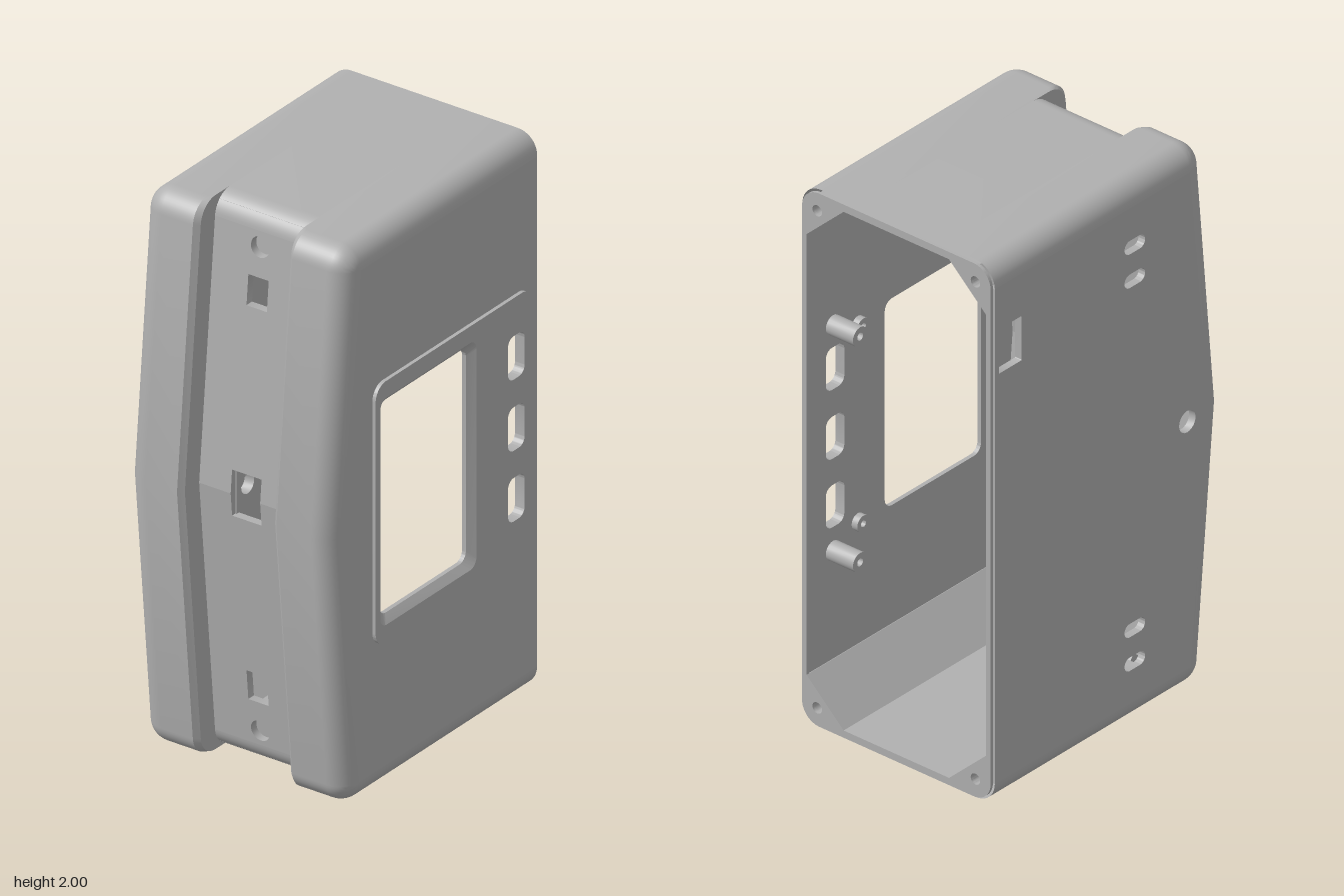
import * as THREE from 'three';
import { toCreasedNormals } from 'three/addons/utils/BufferGeometryUtils.js';

const grey = new THREE.MeshStandardMaterial({ color: 0xb0b0b0, side: THREE.DoubleSide });
grey.name = 'plain grey';

const Z0 = -0.005;              // mid-depth of the case
const PEAK = -0.565, SLOPE = 0.0925, R = 0.08, RIM = 0.55, GROOVE = 0.095;
const TILT = Math.atan(SLOPE);

// Side outline (x, y), open at the rim; d insets it, dx pushes the peaked side inwards
function profile(d = 0, dx = 0) {
  const cx = PEAK + SLOPE * (1 - R) + R / Math.cos(TILT) + dx;
  const upper = [[PEAK + d / Math.cos(TILT) + dx, 1]];
  for (let i = 0; i <= 12; i++) {
    const a = THREE.MathUtils.lerp(Math.PI - TILT, Math.PI / 2, i / 12);
    upper.push([cx + (R - d) * Math.cos(a), 2 - R + (R - d) * Math.sin(a)]);
  }
  upper.push([RIM, 2 - d]);
  const lower = upper.slice(1).reverse().map(([x, y]) => [x, 2 - y]);
  return [...lower, ...upper];
}

// Surface through rows of equal length; skip(row, column) leaves openings
function loft(rows, skip = () => false, crease = 0.3) {
  const n = rows[0].length, index = [];
  for (let i = 0; i < rows.length - 1; i++)
    for (let j = 0; j < n - 1; j++) {
      if (skip(i, j)) continue;
      const a = i * n + j, b = a + n;
      index.push(a, a + 1, b, b, a + 1, b + 1);
    }
  const g = new THREE.BufferGeometry();
  g.setAttribute('position', new THREE.Float32BufferAttribute(rows.flat(2), 3));
  g.setIndex(index);
  return toCreasedNormals(g, crease);
}

function roundRect(cx, cy, w, h, r, Kind = THREE.Path) {
  const p = new Kind(), x = w / 2 - r, y = h / 2 - r, q = Math.PI / 2;
  p.moveTo(cx + w / 2, cy - y);
  p.absarc(cx + x, cy + y, r, 0, q);
  p.absarc(cx - x, cy + y, r, q, 2 * q);
  p.absarc(cx - x, cy - y, r, 2 * q, 3 * q);
  p.absarc(cx + x, cy - y, r, 3 * q, 4 * q);
  p.closePath();
  return p;
}
function circle(x, y, r, Kind = THREE.Path) {
  const p = new Kind();
  p.absarc(x, y, r, 0, Math.PI * 2);
  return p;
}
function polygon(pts, Kind = THREE.Shape) {
  return new Kind(pts.map(([x, y]) => new THREE.Vector2(x, y)));
}

// Extrusions along z, along x, and along x following the peaked end wall
function extrudeZ(shape, z, depth) {
  const g = new THREE.ExtrudeGeometry(shape, { depth, bevelEnabled: false, curveSegments: 10 });
  return toCreasedNormals(g.translate(0, 0, z), 0.6);
}
function extrudeX(shape, x, depth) {
  return extrudeZ(shape, 0, depth).rotateY(Math.PI / 2).translate(x, 1, Z0);
}
function extrudeEnd(shape, offset, depth) {
  const g = extrudeX(shape, PEAK + GROOVE + offset, depth), p = g.attributes.position;
  for (let i = 0; i < p.count; i++) p.setX(i, p.getX(i) + SLOPE * Math.abs(p.getY(i) - 1));
  return toCreasedNormals(g, 0.6);
}

export function createModel() {
  const model = new THREE.Group();
  model.name = 'enclosure';
  const add = (name, geometry) => {
    const m = new THREE.Mesh(geometry, grey);
    m.name = name;
    model.add(m);
  };

  // Outer skin: rounded back edge, groove with chamfered lips, rounded front edge
  const slices = [];
  for (let i = 0; i <= 10; i++) {
    const a = (i / 10) * Math.PI / 2;
    slices.push([-0.41 + R * (1 - Math.cos(a)), Math.min(R * (1 - Math.sin(a)), 0.0795), 0]);
  }
  const front = slices.map(([z, d]) => [2 * Z0 - z, d, 0]).reverse();
  slices.push([-0.205, 0, 0], [-0.187, 0, 0.018], [-0.187, 0, GROOVE]);
  const floorRow = slices.length - 1;
  slices.push([0.168, 0, GROOVE], [0.168, 0, 0.018], [0.186, 0, 0], ...front);
  const rows = slices.map(([z, d, dx]) => profile(d, dx).map(([x, y]) => [x, y, z]));
  add('outerShell', loft(rows, (i, j) => i === floorRow && (j === 13 || j === 14)));

  // Front wall with window and button openings
  const flat = profile(0.0795);
  const window_ = (w, h) => roundRect(-0.055, 1.005, w, h, 0.035);
  const buttons = () => [1.26, 1.003, 0.748].map(y => roundRect(0.42, y, 0.09, 0.157, 0.03));
  const frontWall = polygon(flat);
  frontWall.holes.push(window_(0.52, 0.82), ...buttons());
  add('frontWall', extrudeZ(frontWall, 0.375, 0.025));

  // Raised panel and sloping window frame
  const panel = roundRect(0.0825, 1.003, 0.845, 0.945, 0.055, THREE.Shape);
  panel.holes.push(window_(0.52, 0.82), ...buttons());
  add('frontPanel', extrudeZ(panel, 0.4, 0.013));
  const frame = [[0.52, 0.82, 0.413], [0.468, 0.77, 0.39], [0.468, 0.77, 0.375], [0.52, 0.82, 0.375]];
  add('windowFrame', loft(frame.map(([w, h, z]) => window_(w, h).getPoints(8).map(p => [p.x, p.y, z]))));

  // Back wall with mounting slots, pin hole and cable opening
  const backWall = polygon(flat);
  for (const y of [1.775, 1.65, 0.35, 0.225]) backWall.holes.push(roundRect(-0.13, y, 0.1, 0.05, 0.0249));
  backWall.holes.push(circle(-0.385, 1, 0.04), roundRect(0.475, 1.68, 0.11, 0.165, 0.003));
  add('backWall', extrudeZ(backWall, -0.41, 0.027));

  // Top and bottom: inner chamfered linings, with screw holes
  for (const s of [1, -1]) {
    const lining = polygon([
      [0.378, 0.82], [0.222, 0.965], [-0.222, 0.965], [-0.378, 0.82], [-0.385, 0.82],
      [-0.385, 0.92], [-0.33, 0.978], [0.33, 0.978], [0.385, 0.92], [0.385, 0.82],
    ].map(([u, v]) => [u, v * s]));
    for (const k of [1, -1]) lining.holes.push(circle(k * 0.333, s * 0.925, 0.02));
    add(s > 0 ? 'topLining' : 'bottomLining', extrudeX(lining, -0.36, RIM + 0.36));
  }

  // Rim around the open side
  const rim = roundRect(0, 0, 0.794, 1.984, 0.073, THREE.Shape);
  rim.holes.push(polygon([
    [0.378, 0.82], [0.222, 0.965], [-0.222, 0.965], [-0.378, 0.82],
    [-0.378, -0.82], [-0.222, -0.965], [0.222, -0.965], [0.378, -0.82],
  ], THREE.Path));
  for (const s of [1, -1]) for (const k of [1, -1]) rim.holes.push(circle(k * 0.333, s * 0.925, 0.02));
  add('rim', extrudeX(rim, RIM, 0.011));

  // Peaked end wall in two halves, with blind-hole bosses and guide ribs
  const T = 1 - R + R * Math.sin(TILT);
  for (const s of [1, -1]) {
    const side = s > 0 ? 'upper' : 'lower';
    const half = polygon([
      [-0.378, 0], [-0.058, 0], [-0.058, 0.083], [0.058, 0.083], [0.058, 0],
      [0.378, 0], [0.378, T], [-0.378, T],
    ].map(([u, v]) => [u, v * s]));
    half.holes.push(roundRect(0, s * 0.713, 0.08, 0.108, 0.002), circle(0, s * 0.873, 0.037));
    add(side + 'EndWall', extrudeEnd(half, 0, 0.03));
    add(side + 'Boss', extrudeEnd(circle(0, s * 0.873, 0.064, THREE.Shape), 0.029, 0.05));
    add(side + 'Rib', extrudeEnd(roundRect(-0.067, s * 0.697, 0.046, 0.3, 0.002, THREE.Shape), 0.029, 0.1));
  }

  // Pivot lugs beside the central opening
  for (const z of [0.055, -0.095]) {
    const lug = new THREE.Shape();
    lug.moveTo(-0.445, 0.89);
    lug.absarc(-0.38, 1, 0.068, -Math.PI / 4, Math.PI / 4);
    lug.lineTo(-0.42, 1.11);
    lug.lineTo(-0.445, 1.11);
    lug.lineTo(-0.445, 0.89);
    lug.holes.push(circle(-0.385, 1, 0.035));
    add('pivotLug', extrudeZ(lug, z, 0.037));
  }

  // Standoffs behind the front wall
  for (const s of [1, -1]) {
    for (const [x, y, r, len] of [[0.43, 0.42, 0.035, 0.115], [0.31, 0.367, 0.03, 0.025]]) {
      const post = circle(x, 1.003 + s * y, r, THREE.Shape);
      post.holes.push(circle(x, 1.003 + s * y, r * 0.4));
      add('standoff', extrudeZ(post, 0.376 - len, len));
    }
  }
  return model;
}
